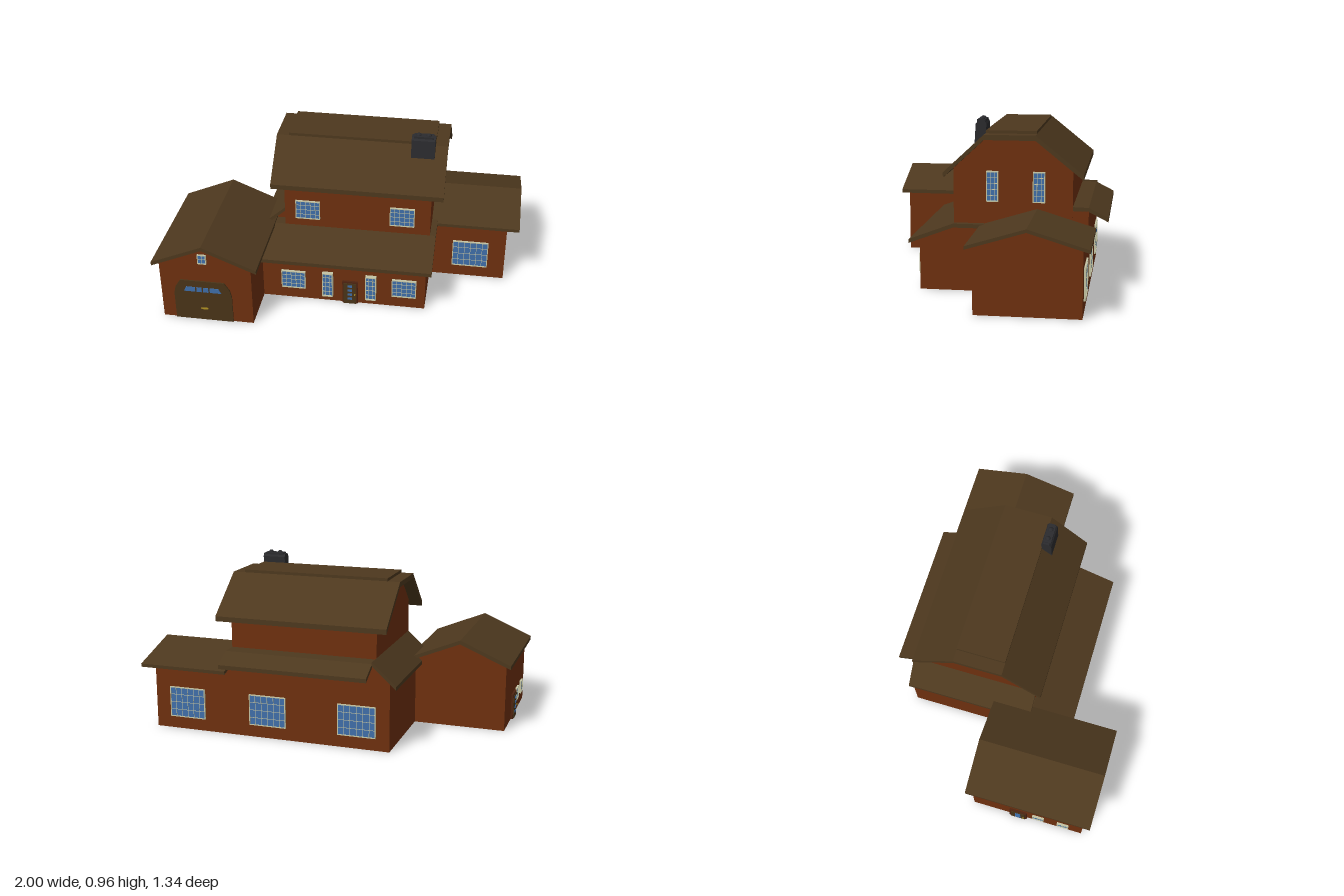
import * as THREE from 'three';

const mat = (color) => new THREE.MeshStandardMaterial({ color, flatShading: true });
const M = {
  brick: mat(0x6e300f), roof: mat(0x4d381e), door: mat(0x4a3418), frame: mat(0xc4c4a4),
  glass: mat(0x3f6ea8), stone: mat(0x2b2b2e), brass: mat(0xa88a20), wood: mat(0x4f2410),
};

function add(parent, geo, material, name) {
  const mesh = new THREE.Mesh(geo, material);
  mesh.name = name;
  parent.add(mesh);
  return mesh;
}

function box(parent, name, material, w, h, d, x, y, z) {
  const m = add(parent, new THREE.BoxGeometry(w, h, d), material, name);
  m.position.set(x, y, z);
  return m;
}

// Extrudes an outline along z, or along x with the outline given as (z, y)
function prism(parent, name, material, pts, axis, from, to) {
  const shape = new THREE.Shape(pts.map((p) => new THREE.Vector2(p[0], p[1])));
  const geo = new THREE.ExtrudeGeometry(shape, { depth: to - from, bevelEnabled: false });
  if (axis === 'x') geo.rotateY(-Math.PI / 2).translate(to, 0, 0);
  else geo.translate(0, 0, from);
  return add(parent, geo, material, name);
}

// Roof sheet: a top line given a vertical thickness
function roof(parent, name, top, axis, from, to, t = 0.022) {
  const under = top.map(([a, y]) => [a, y - t]).reverse();
  return prism(parent, name, M.roof, [...top, ...under], axis, from, to);
}

// Window lying on the local z = 0 plane, centred on its origin
function makeWindow(parent, name, w, h, cols, rows, depth) {
  const g = new THREE.Group();
  g.name = name;
  const f = 0.005, bar = 0.0028;
  box(g, 'glass', M.glass, w - f, h - f, depth * 0.6, 0, 0, depth * 0.3);
  for (const s of [-1, 1]) {
    box(g, 'frameSide', M.frame, f, h, depth, s * (w - f) / 2, 0, depth / 2);
    box(g, 'frameRail', M.frame, w - 2 * f, f, depth, 0, s * (h - f) / 2, depth / 2);
  }
  for (let i = 1; i < cols; i++)
    box(g, 'mullion', M.frame, bar, h - 2 * f, depth * 0.7, -w / 2 + (w * i) / cols, 0, depth * 0.35);
  for (let j = 1; j < rows; j++)
    box(g, 'glazingBar', M.frame, w - 2 * f, bar, depth * 0.68, 0, -h / 2 + (h * j) / rows, depth * 0.34);
  parent.add(g);
  return g;
}

// Panelled door on the local z = 0 plane, standing on its origin
function makeDoor(parent, name, w, h) {
  const g = new THREE.Group();
  g.name = name;
  box(g, 'doorFrame', M.wood, w, h, 0.012, 0, h / 2, 0.006);
  box(g, 'doorLeaf', M.door, w * 0.8, h * 0.93, 0.016, 0, h * 0.465, 0.008);
  for (let i = 0; i < 4; i++)
    box(g, 'doorPane', M.glass, w * 0.3, 0.013, 0.02, 0, h * (0.24 + i * 0.19), 0.01);
  box(g, 'doorKnob', M.brass, 0.006, 0.006, 0.026, w * 0.32, h * 0.45, 0.013);
  parent.add(g);
  return g;
}

function makeGarage() {
  const g = new THREE.Group();
  g.name = 'garage';
  prism(g, 'garageWalls', M.brick,
    [[-0.97, 0], [-0.45, 0], [-0.45, 0.39], [-0.71, 0.497], [-0.97, 0.39]], 'z', -0.03, 0.63);
  roof(g, 'garageRoof', [[-1, 0.39], [-0.71, 0.514], [-0.41, 0.39]], 'z', -0.06, 0.67);
  // Vehicle door with shaped top, panes and handle
  const outline = [[-0.895, 0], [-0.565, 0], [-0.565, 0.17], [-0.575, 0.215], [-0.605, 0.262],
    [-0.855, 0.262], [-0.885, 0.215], [-0.895, 0.17]];
  prism(g, 'garageDoor', M.door, outline, 'z', 0.62, 0.638);
  const pane = [[-0.837, 0.192], [-0.772, 0.192], [-0.772, 0.222], [-0.822, 0.222]];
  const inner = [[-0.764, 0.192], [-0.734, 0.192], [-0.734, 0.222], [-0.764, 0.222]];
  for (const s of [-1, 1])
    for (const p of [pane, inner])
      prism(g, 'garageDoorPane', M.glass, p.map(([x, y]) => [s < 0 ? x : -1.46 - x, y]), 'z', 0.63, 0.641);
  box(g, 'garageDoorHandle', M.brass, 0.04, 0.007, 0.008, -0.725, 0.08, 0.642);
  makeWindow(g, 'gableWindow', 0.05, 0.06, 2, 2, 0.01).position.set(-0.72, 0.412, 0.63);
  // Side door and small windows
  const side = makeDoor(g, 'garageSideDoor', 0.105, 0.15);
  side.position.set(-0.97, 0, 0.245);
  side.rotation.y = -Math.PI / 2;
  for (const z of [0.365, 0.515]) {
    const w = makeWindow(g, 'garageSideWindow', 0.07, 0.075, 2, 2, 0.012);
    w.position.set(-0.97, 0.11, z);
    w.rotation.y = -Math.PI / 2;
  }
  return g;
}

function makeGroundFloor() {
  const g = new THREE.Group();
  g.name = 'groundFloor';
  prism(g, 'frontRoomWalls', M.brick,
    [[0.355, 0], [0.355, 0.282], [0.165, 0.354], [0.1, 0.354], [0.1, 0]], 'x', -0.45, 0.49);
  prism(g, 'rearRoomWalls', M.brick,
    [[0.1, 0], [0.1, 0.36], [-0.3, 0.46], [-0.565, 0.46], [-0.565, 0]], 'x', -0.35, 0.49);
  prism(g, 'leanToWalls', M.brick,
    [[-0.45, 0], [-0.35, 0], [-0.35, 0.47], [-0.45, 0.375]], 'z', -0.565, 0.1);
  // Lower roofs
  roof(g, 'frontRoof', [[0.41, 0.287], [0.165, 0.38], [-0.01, 0.38]], 'x', -0.45, 0.525);
  roof(g, 'leanToRoof', [[-0.485, 0.37], [-0.35, 0.49]], 'z', -0.57, 0.165);
  roof(g, 'rearRoof', [[-0.45, 0.483], [-0.565, 0.48], [-0.67, 0.427]], 'x', -0.35, 0.49);
  // Front windows and door
  for (const x of [-0.27, 0.37])
    makeWindow(g, 'frontWindow', 0.14, 0.115, 5, 4, 0.015).position.set(x, 0.132, 0.355);
  for (const x of [-0.07, 0.18])
    makeWindow(g, 'sideLight', 0.062, 0.16, 3, 5, 0.025).position.set(x, 0.12, 0.355);
  makeDoor(g, 'frontDoor', 0.09, 0.15).position.set(0.06, 0, 0.355);
  // Large windows along the rear wall
  for (const x of [0.733, 0.248, -0.267]) {
    const w = makeWindow(g, 'rearWindow', 0.215, 0.175, 6, 4, 0.01);
    w.position.set(x, 0.157, -0.565);
    w.rotation.y = Math.PI;
  }
  return g;
}

function makeWing() {
  const g = new THREE.Group();
  g.name = 'sideWing';
  prism(g, 'wingWalls', M.brick,
    [[-0.01, 0], [-0.01, 0.357], [-0.29, 0.45], [-0.565, 0.357], [-0.565, 0]], 'x', 0.485, 0.93);
  roof(g, 'wingRoof', [[0.02, 0.372], [-0.29, 0.467], [-0.605, 0.372]], 'x', 0.485, 1, 0.018);
  makeWindow(g, 'wingWindow', 0.21, 0.17, 6, 4, 0.012).position.set(0.725, 0.16, -0.01);
  return g;
}

function makeUpperFloor() {
  const g = new THREE.Group();
  g.name = 'upperFloor';
  prism(g, 'upperWalls', M.brick, [[0.165, 0.3], [0.165, 0.682], [-0.01, 0.846], [-0.285, 0.846],
    [-0.48, 0.688], [-0.48, 0.3]], 'x', -0.35, 0.491);
  roof(g, 'upperRoof', [[0.21, 0.665], [-0.01, 0.87], [-0.285, 0.87], [-0.54, 0.665]],
    'x', -0.42, 0.56, 0.028);
  box(g, 'ridgeCap', M.roof, 0.84, 0.03, 0.275, 0.07, 0.871, -0.1475);
  for (const x of [-0.215, 0.33])
    makeWindow(g, 'upperFrontWindow', 0.142, 0.118, 5, 4, 0.012).position.set(x, 0.49, 0.165);
  for (const z of [-0.048, -0.3]) {
    const w = makeWindow(g, 'upperSideWindow', 0.066, 0.165, 3, 5, 0.025);
    w.position.set(0.49, 0.586, z);
    w.rotation.y = Math.PI / 2;
  }
  return g;
}

function makeChimney() {
  const g = new THREE.Group();
  g.name = 'chimney';
  prism(g, 'chimneyStack', M.stone,
    [[0.05, 0.81], [0.043, 0.92], [0.03, 0.937], [-0.005, 0.937], [-0.015, 0.92], [-0.008, 0.81]],
    'x', 0.357, 0.49);
  box(g, 'chimneyCap', M.stone, 0.11, 0.012, 0.045, 0.424, 0.937, 0.014);
  for (const x of [0.395, 0.452]) {
    const pot = add(g, new THREE.SphereGeometry(0.016, 8, 6), M.stone, 'chimneyPot');
    pot.position.set(x, 0.94, 0.014);
  }
  return g;
}

export function createModel() {
  const house = new THREE.Group();
  house.name = 'house';
  house.add(makeGarage(), makeGroundFloor(), makeWing(), makeUpperFloor(), makeChimney());
  return house;
}
